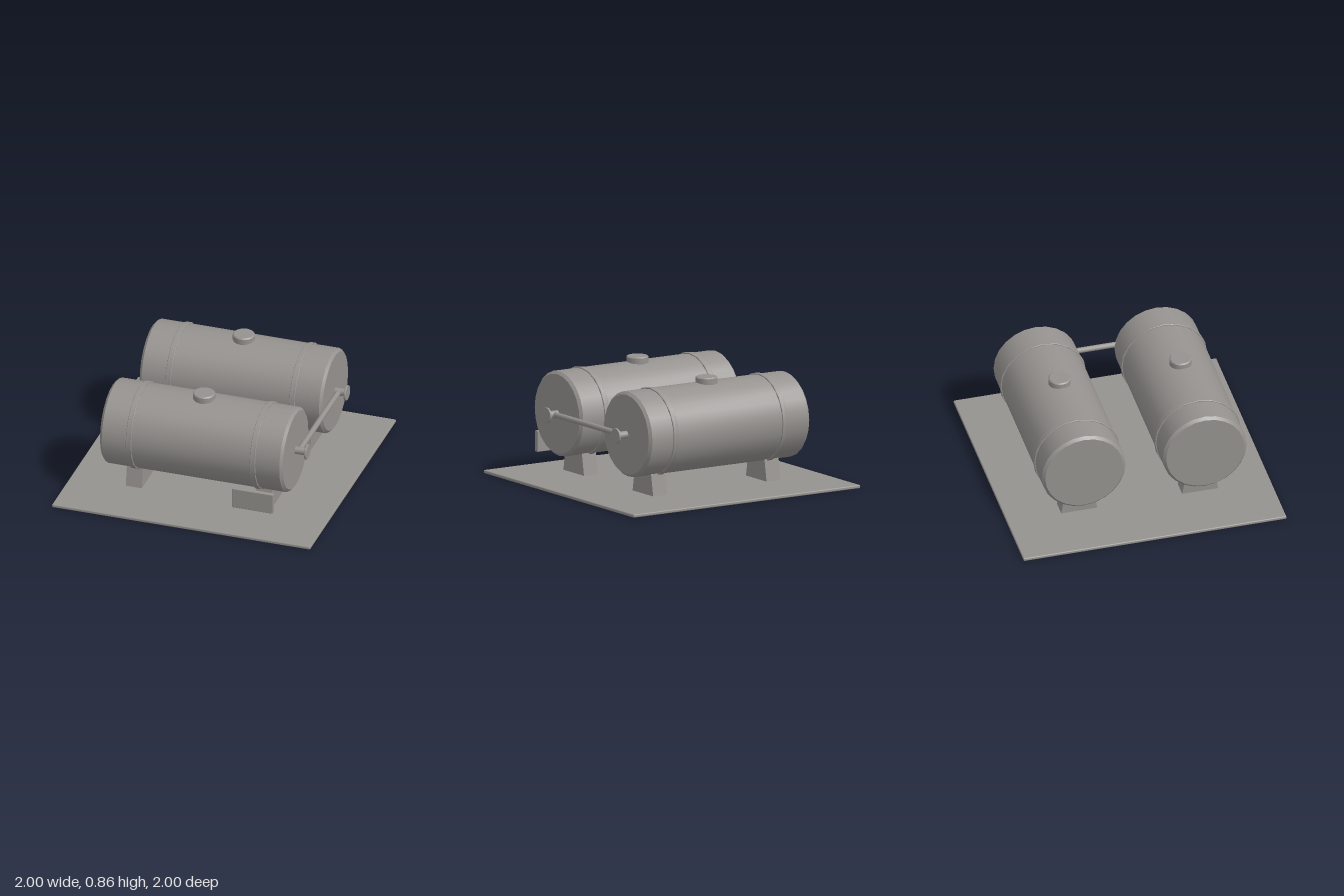
import * as THREE from 'three';
import { toCreasedNormals } from 'three/addons/utils/BufferGeometryUtils.js';
import { RoundedBoxGeometry } from 'three/addons/geometries/RoundedBoxGeometry.js';

const steel = new THREE.MeshStandardMaterial({ color: 0x95928f });
steel.name = 'grey steel';

const AXIS_Y = 0.503; // height of the tank axis
const TANK_Z = 0.46;  // distance of each tank from the middle

function add(parent, name, geometry, x, y, z) {
  const mesh = new THREE.Mesh(geometry, steel);
  mesh.name = name;
  mesh.position.set(x, y, z);
  parent.add(mesh);
  return mesh;
}

// Closed cylinder along y with chamfered rims and crisp edges
function drum(radius, length, chamfer, sides) {
  const h = length / 2;
  const profile = [
    [0, -h], [radius - chamfer, -h], [radius, -h + chamfer],
    [radius, h - chamfer], [radius - chamfer, h], [0, h],
  ].map(([r, y]) => new THREE.Vector2(r, y));
  return toCreasedNormals(new THREE.LatheGeometry(profile, sides), 0.6);
}

const alongX = (geometry) => geometry.rotateZ(-Math.PI / 2);

// Tapered foot, extruded along x
function saddleGeometry() {
  const shape = new THREE.Shape();
  shape.moveTo(-0.137, 0.045);
  shape.lineTo(0.137, 0.045);
  shape.lineTo(0.1, 0.26);
  shape.lineTo(-0.1, 0.26);
  shape.closePath();
  const geometry = new THREE.ExtrudeGeometry(shape, { depth: 0.124, bevelEnabled: false });
  return geometry.translate(0, 0, -0.062).rotateY(Math.PI / 2);
}

function createTank(name, z) {
  const tank = new THREE.Group();
  tank.name = name;
  tank.position.z = z;
  add(tank, 'tankShell', alongX(drum(0.318, 1.416, 0.02, 24)), 0, AXIS_Y, 0);
  for (const side of [-1, 1]) {
    add(tank, 'strap', alongX(drum(0.328, 0.042, 0.003, 20)), side * 0.48, AXIS_Y, 0);
    add(tank, 'saddle', saddleGeometry(), side * 0.5, 0, 0);
  }
  add(tank, 'fillerCap', drum(0.083, 0.07, 0.008, 16), 0, 0.827, 0);

  // Outlet on the tank end
  add(tank, 'outletPipe', alongX(drum(0.028, 0.1, 0.003, 12)), 0.74, AXIS_Y, 0);
  add(tank, 'valveWheel', alongX(drum(0.058, 0.016, 0.003, 16)), 0.798, AXIS_Y, 0);
  return tank;
}

export function createModel() {
  const model = new THREE.Group();
  model.name = 'twinTanks';

  add(model, 'basePlate', new RoundedBoxGeometry(2, 0.025, 2, 2, 0.008), 0, 0.0125, 0);
  model.add(createTank('frontTank', TANK_Z), createTank('backTank', -TANK_Z));

  // Pipe joining the two outlets
  const link = new THREE.CylinderGeometry(0.021, 0.021, 0.9, 12).rotateX(Math.PI / 2);
  add(model, 'linkPipe', link, 0.737, AXIS_Y, 0);

  // Blank plate in front of the front tank
  add(model, 'signPlate', new RoundedBoxGeometry(0.316, 0.157, 0.036, 1, 0.004), 0.498, 0.232, 0.817);

  return model;
}
